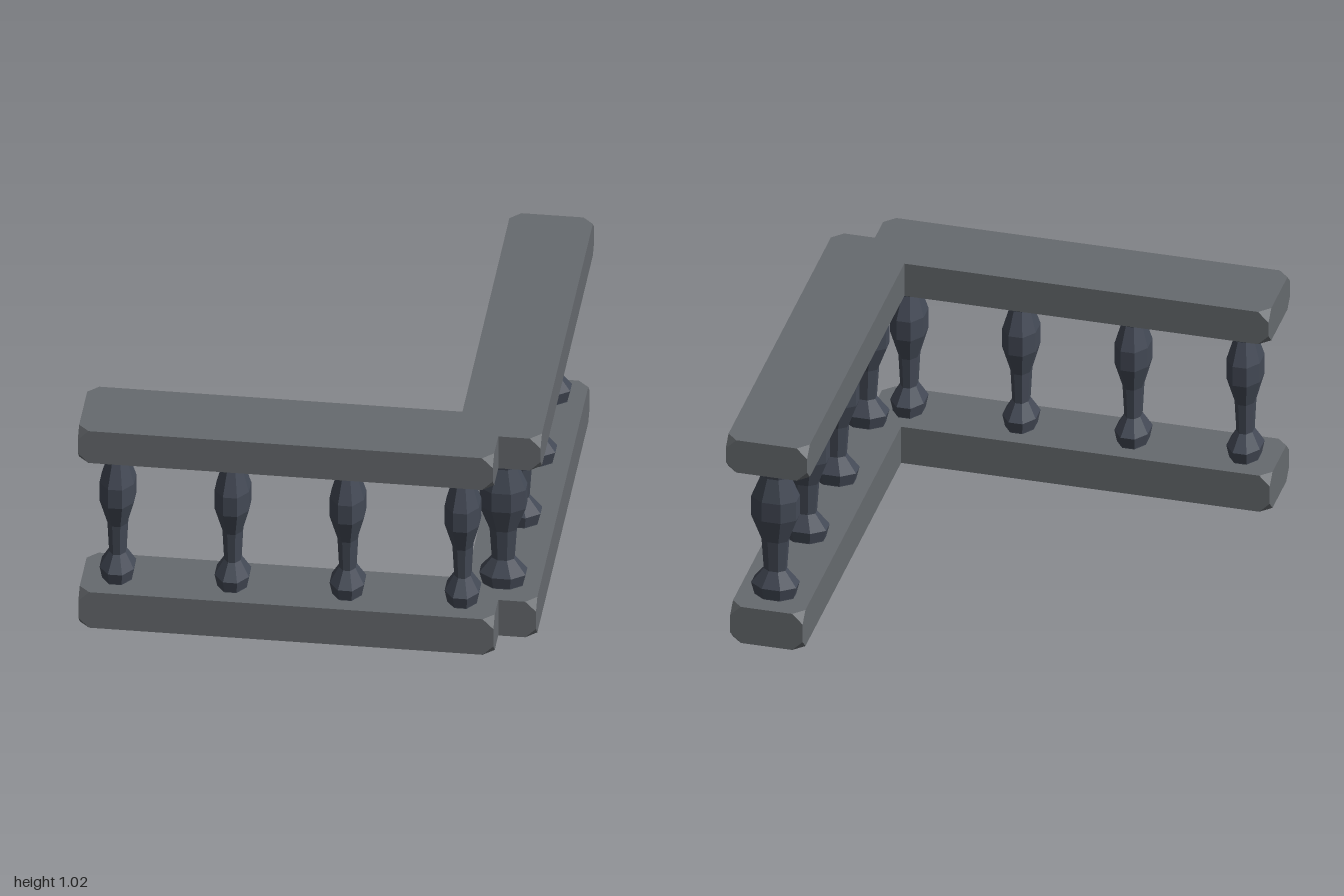
import * as THREE from 'three';
import { ConvexGeometry } from 'three/addons/geometries/ConvexGeometry.js';

const CENTRE = 0.8175; // distance of each rail's centre line from the origin
const START = -1, END = 0.815;

const stone = new THREE.MeshStandardMaterial({ color: 0x666a6e, flatShading: true });
const slate = new THREE.MeshStandardMaterial({ color: 0x434955, flatShading: true });

// Box with all eight corners chipped off
function chippedBox(width, height, depth, chip) {
  const points = [];
  for (const x of [-1, 1]) for (const y of [-1, 1]) for (const z of [-1, 1]) {
    for (let axis = 0; axis < 3; axis++) {
      const p = new THREE.Vector3(x * width / 2, y * height / 2, z * depth / 2);
      p.setComponent(axis, p.getComponent(axis) - [x, y, z][axis] * chip);
      points.push(p);
    }
  }
  return new ConvexGeometry(points);
}

// Eight-sided turned post, wider across the rail than along it
function balusterGeometry() {
  const profile = [
    [0.065, 0.17], [0.065, 0.185], [0.075, 0.24], [0.036, 0.31], [0.043, 0.46],
    [0.075, 0.58], [0.075, 0.675], [0.045, 0.78], [0.056, 0.86], [0.056, 0.87],
  ].map(([r, y]) => new THREE.Vector2(r / Math.cos(Math.PI / 8), y));
  const geometry = new THREE.LatheGeometry(profile, 8, Math.PI / 8);
  return geometry.scale(1, 1, 1.35);
}

function rail(name, bottom, top, depth) {
  const mesh = new THREE.Mesh(chippedBox(END - START, top - bottom, depth, 0.047), stone);
  mesh.name = name;
  mesh.position.set((START + END) / 2, (bottom + top) / 2, 0);
  return mesh;
}

// One straight run of balustrade along x
function createWing(name, postGeometry) {
  const wing = new THREE.Group();
  wing.name = name;
  wing.add(rail('topRail', 0.857, 1.02, 0.365), rail('bottomRail', 0, 0.182, 0.325));
  for (let i = 0; i < 4; i++) {
    const post = new THREE.Mesh(postGeometry, slate);
    post.name = 'baluster';
    post.position.x = -0.848 + i * 0.503;
    wing.add(post);
  }
  return wing;
}

export function createModel() {
  const model = new THREE.Group();
  model.name = 'cornerBalustrade';
  const post = balusterGeometry();

  const front = createWing('frontWing', post);
  front.position.z = CENTRE;

  const side = createWing('sideWing', post);
  side.rotation.y = -Math.PI / 2;
  side.position.x = CENTRE;

  model.add(front, side);
  return model;
}
